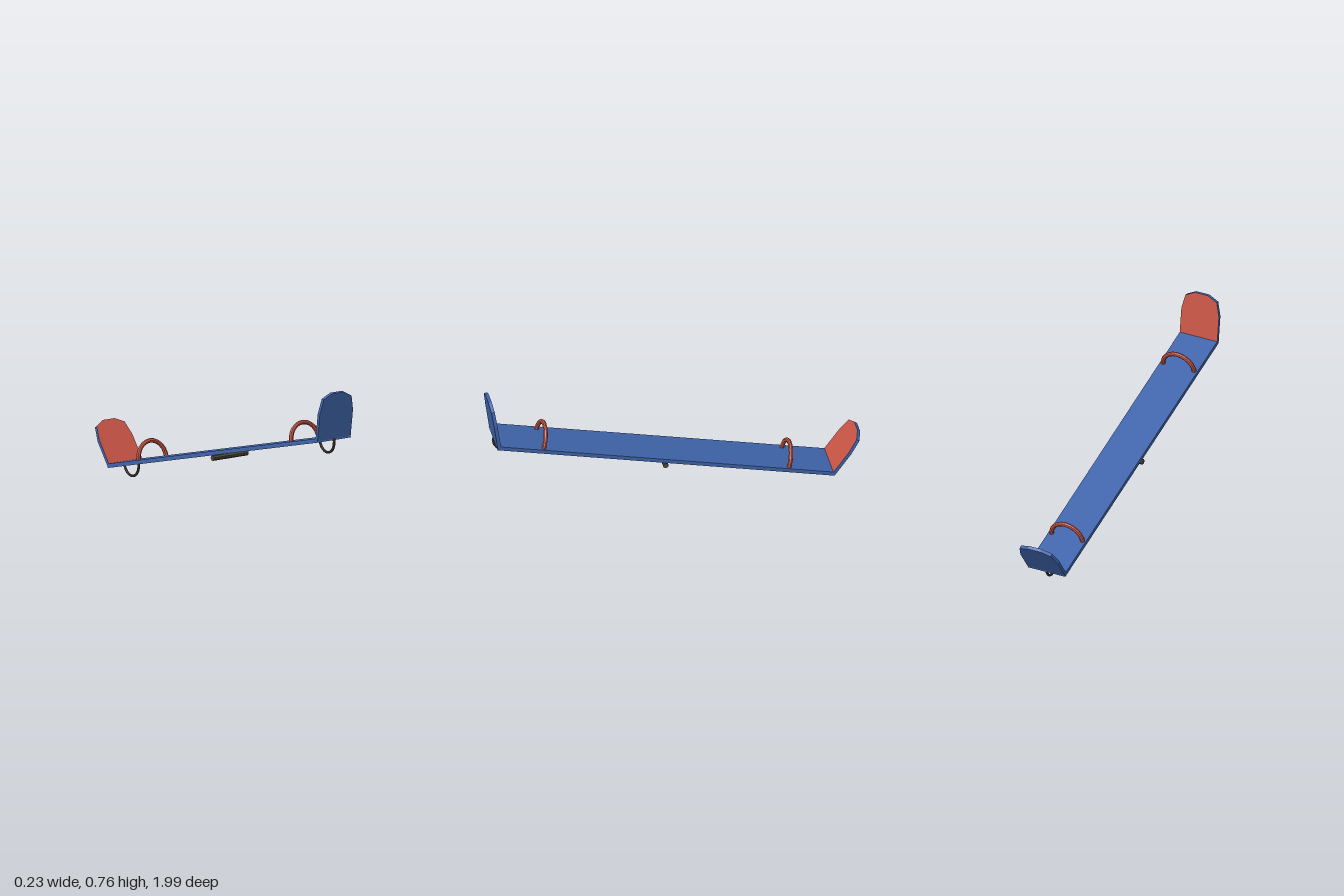
import * as THREE from 'three';

const blue = new THREE.MeshStandardMaterial({ color: 0x4166ad });
blue.name = 'blue paint';
const red = new THREE.MeshStandardMaterial({ color: 0xc85545 });
red.name = 'red paint';
const dark = new THREE.MeshStandardMaterial({ color: 0x504a40 });
dark.name = 'dark metal';

const TILT = 0.2425, HALF = 0.93, THICK = 0.022, WIDTH = 0.218;

function part(name, geometry, material, parent) {
  const mesh = new THREE.Mesh(geometry, material);
  mesh.name = name;
  parent.add(mesh);
  return mesh;
}

// Faceted geometry with hard edges
function faceted(geometry) {
  const flat = geometry.toNonIndexed();
  flat.computeVertexNormals();
  return flat;
}

// Half-ellipse tube in the xy plane; a negative height hangs down
function arch(halfWidth, height, radius, sides) {
  const points = [];
  for (let i = 0; i <= 8; i++) {
    const a = Math.PI * i / 8;
    points.push(new THREE.Vector3(halfWidth * Math.cos(a), height * Math.sin(a), 0));
  }
  return faceted(new THREE.TubeGeometry(new THREE.CatmullRomCurve3(points), 12, radius, sides));
}

// Backrest outline with clipped upper corners
function backrestShape() {
  const right = [[0.109, 0], [0.109, 0.147], [0.091, 0.226], [0.038, 0.253]];
  const left = right.map(([x, y]) => [-x, y]).reverse();
  return new THREE.Shape([...right, ...left].map(([x, y]) => new THREE.Vector2(x, y)));
}

// Everything at one end, built toward local +z
function seatEnd(name) {
  const end = new THREE.Group();
  end.name = name;

  const backrest = new THREE.Group();
  backrest.name = 'backrest';
  backrest.position.set(0, 0, HALF - 0.008);
  backrest.rotation.x = 0.38;
  end.add(backrest);
  const panel = new THREE.ExtrudeGeometry(backrestShape(), { depth: 0.018, bevelEnabled: false });
  part('backrestPanel', panel, blue, backrest).position.z = -0.009;
  // Red face toward the rider
  const face = part('backrestFace', new THREE.ShapeGeometry(backrestShape()), red, backrest);
  face.rotation.y = Math.PI;
  face.position.z = -0.0105;

  const handle = part('handle', arch(0.091, 0.096, 0.012, 8), red, end);
  handle.position.set(0, 0.006, 0.676);

  // Bumper loop below the seat
  const bumper = part('bumperLoop', arch(0.063, -0.069, 0.007, 8), dark, end);
  bumper.position.set(0, -0.003, 0.866);
  bumper.rotation.y = Math.PI / 2;
  return end;
}

export function createModel() {
  const model = new THREE.Group();
  model.name = 'seesaw';

  const beam = new THREE.Group();
  beam.name = 'tiltedBeam';
  beam.position.set(0, 0.287, 0.055);
  beam.rotation.x = -TILT;
  model.add(beam);

  part('plank', new THREE.BoxGeometry(WIDTH, THICK, HALF * 2), blue, beam);

  const axle = part('axle', faceted(new THREE.CylinderGeometry(0.015, 0.015, 0.228, 8)), dark, beam);
  axle.rotation.z = Math.PI / 2;
  axle.position.y = -0.025;

  const front = seatEnd('frontEnd');
  const back = seatEnd('backEnd');
  back.rotation.y = Math.PI;
  beam.add(front, back);
  return model;
}
